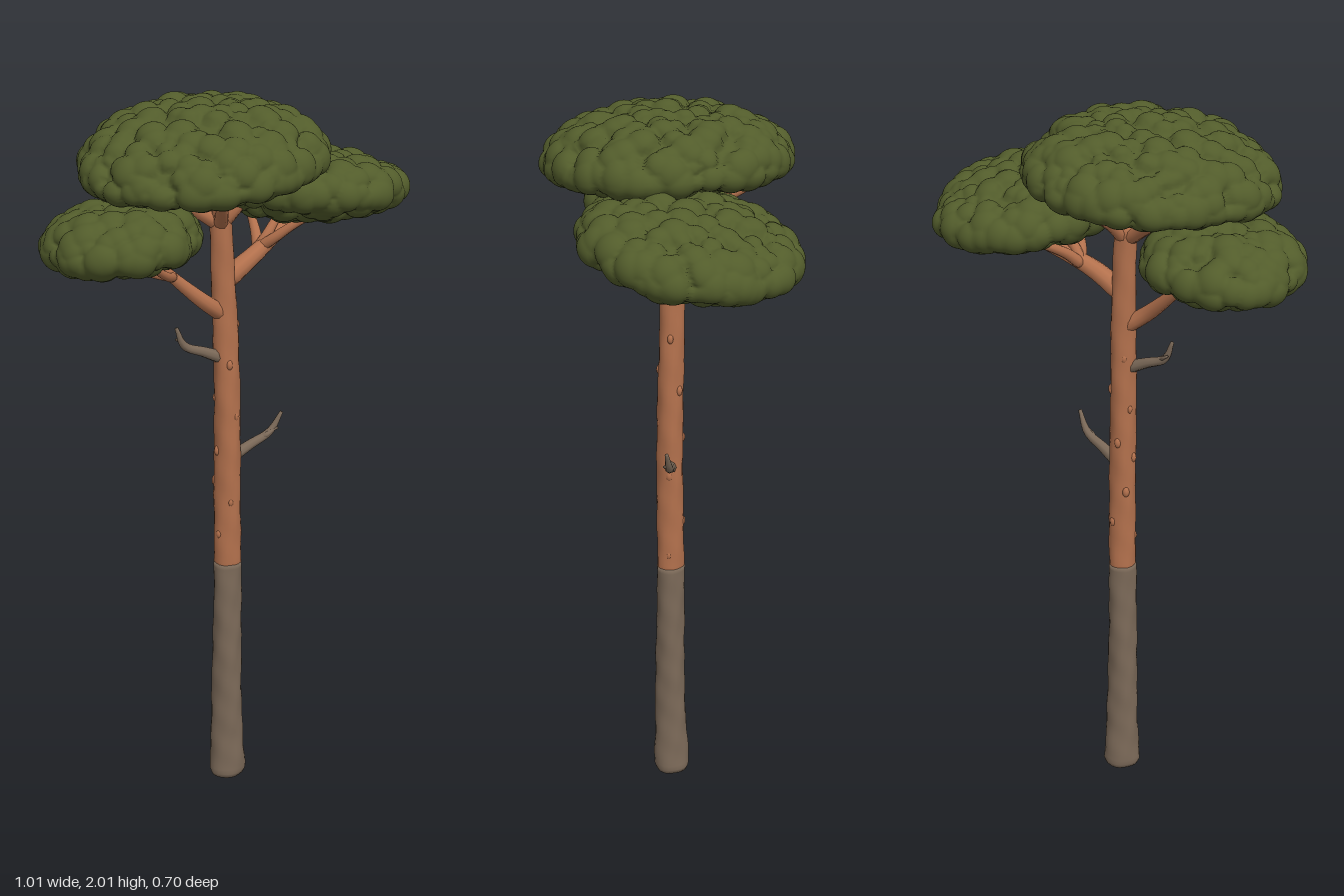
import * as THREE from 'three';
import { mergeVertices } from 'three/addons/utils/BufferGeometryUtils.js';

const vec = (x, y, z) => new THREE.Vector3(x, y, z);

const mat = (name, color) => {
  const m = new THREE.MeshStandardMaterial({ color });
  m.name = name;
  return m;
};

// Small seeded generator
function seeded(seed) {
  let s = seed;
  return () => {
    s = (s * 16807) % 2147483647;
    return s / 2147483647;
  };
}

// Tapered tube along a smooth path, closed at both ends; wobble roughens the bark
function limbGeometry(points, radii, sides, steps, wobble) {
  const curve = new THREE.CatmullRomCurve3(points);
  const { normals, binormals } = curve.computeFrenetFrames(steps);
  const pos = [], idx = [];
  let rings = 0;
  const ring = (i, scale) => {
    const t = i / steps, c = curve.getPointAt(t);
    const f = t * (radii.length - 1), k = Math.min(Math.floor(f), radii.length - 2);
    const r = THREE.MathUtils.lerp(radii[k], radii[k + 1], f - k) * scale;
    for (let j = 0; j < sides; j++) {
      const a = (j / sides) * Math.PI * 2;
      const w = 1 + wobble * (Math.sin(3 * a + c.y * 9) + 0.7 * Math.sin(5 * a - c.y * 31) + 0.6 * Math.sin(2 * a + c.y * 57));
      const p = c.clone()
        .addScaledVector(normals[i], Math.cos(a) * r * w)
        .addScaledVector(binormals[i], Math.sin(a) * r * w);
      pos.push(p.x, p.y, p.z);
    }
    rings++;
  };
  ring(0, 0.001);
  ring(0, 0.9);
  for (let i = 1; i <= steps; i++) ring(i, 1);
  ring(steps, 0.001);
  for (let i = 0; i < rings - 1; i++) {
    for (let j = 0; j < sides; j++) {
      const a = i * sides + j, b = i * sides + (j + 1) % sides;
      idx.push(a, b, b + sides, a, b + sides, a + sides);
    }
  }
  const g = new THREE.BufferGeometry();
  g.setAttribute('position', new THREE.Float32BufferAttribute(pos, 3));
  g.setIndex(idx);
  g.computeVertexNormals();
  return g;
}

// Branch from root to tip, bowed up or down in the middle with a slight wiggle
function branchGeometry(root, tip, r0, r1, bow) {
  const points = [];
  for (let i = 0; i <= 4; i++) {
    const p = root.clone().lerp(tip, i / 4);
    p.y += bow * Math.sin(i / 4 * Math.PI);
    p.z += 0.4 * r0 * Math.sin(i * Math.PI / 2);
    points.push(p);
  }
  return limbGeometry(points, [r0, r1], 10, 14, 0.03);
}

// Flattened dome covered with rounded leaf clumps; lean tips it along x and z
function canopyGeometry(rx, rz, up, down, lean, clumps, detail) {
  const rand = seeded(clumps);
  const shape = n => {
    const a = Math.atan2(n.z, n.x);
    const w = 1 + 0.02 * Math.sin(3 * a + clumps) + 0.015 * Math.sin(5 * a + clumps * 2);
    return vec(n.x * rx * w, n.y * (n.y > 0 ? up : down) + n.x * lean.x + n.z * lean.y, n.z * rz * w);
  };
  const centres = [];
  for (let i = 0; i < clumps; i++) {
    const y = THREE.MathUtils.clamp(1 - 2 * (i + 0.5) / clumps + (rand() - 0.5) * 0.06, -1, 1);
    const a = i * 2.39996 + (rand() - 0.5) * 0.4;
    const s = Math.sqrt(1 - y * y);
    centres.push({ p: shape(vec(Math.cos(a) * s, y, Math.sin(a) * s)), r: 0.02 + rand() * 0.022 });
  }
  const sphere = new THREE.IcosahedronGeometry(1, detail);
  sphere.deleteAttribute('normal');
  sphere.deleteAttribute('uv');
  const g = mergeVertices(sphere, 1e-5);
  const pos = g.attributes.position, n = vec();
  for (let i = 0; i < pos.count; i++) {
    n.fromBufferAttribute(pos, i).normalize();
    const p = shape(n);
    let h = 0;
    for (const c of centres) h = Math.max(h, c.r * c.r - p.distanceToSquared(c.p));
    const out = vec(n.x / rx, n.y / (n.y > 0 ? up : down), n.z / rz).normalize();
    p.addScaledVector(out, Math.sqrt(h) * 0.72);
    pos.setXYZ(i, p.x, p.y, p.z);
  }
  g.computeVertexNormals();
  return g;
}

export function createModel() {
  const tree = new THREE.Group();
  tree.name = 'pineTree';
  const leaf = mat('needleGreen', 0x525c2b);
  const greyBark = mat('greyBark', 0x7b6958);
  const redBark = mat('redBark', 0xb3714d);

  const add = (name, geometry, material) => {
    const m = new THREE.Mesh(geometry, material);
    m.name = name;
    tree.add(m);
    return m;
  };

  // Trunk: grey below, reddish above
  add('lowerTrunk', limbGeometry(
    [vec(-0.013, 0, 0.002), vec(-0.014, 0.3, 0.005), vec(-0.012, 0.715, 0.004)],
    [0.054, 0.047, 0.044, 0.042, 0.04, 0.039], 24, 50, 0.03), greyBark);
  add('upperTrunk', limbGeometry(
    [vec(-0.012, 0.69, 0.004), vec(-0.013, 1.2, 0.005), vec(-0.02, 1.5, 0), vec(-0.028, 1.72, 0)],
    [0.038, 0.0365, 0.034, 0.028], 20, 60, 0.03), redBark);

  // Low knots on the trunk
  const rand = seeded(77);
  for (let i = 0; i < 14; i++) {
    const y = 0.76 + i * 0.05, a = i * 2.4 + rand(), r = 0.033 - i * 0.0003;
    const knot = add('knot', new THREE.SphereGeometry(0.007 + rand() * 0.003, 10, 8), redBark);
    knot.position.set(-0.014 + Math.cos(a) * r, y, 0.004 + Math.sin(a) * r);
    knot.scale.y = 1.6;
  }

  // Side branches with forks carrying the lower canopies
  const branch = (name, material, root, tip, r0, r1, bow) =>
    add(name, branchGeometry(root, tip, r0, r1, bow), material);
  branch('leftwardBranch', redBark, vec(-0.02, 1.44, 0), vec(-0.26, 1.66, 0.06), 0.024, 0.009, -0.01);
  branch('rightwardBranch', redBark, vec(-0.02, 1.53, 0), vec(0.34, 1.69, -0.16), 0.029, 0.009, 0.018);
  const leftFork = vec(-0.165, 1.565, 0.036), rightFork = vec(0.09, 1.595, -0.05);
  for (const z of [0.05, 0.17]) {
    branch('leftwardFork', redBark, leftFork, vec(-0.4 + z * 0.8, 1.65, z), 0.013, 0.007, -0.008);
  }
  for (const z of [-0.22, -0.06, 0.05]) {
    branch('rightwardFork', redBark, rightFork, vec(0.2 + z * 0.4, 1.7, z), 0.016, 0.008, 0.008);
  }

  // Crown branches fanning out beneath the top canopy
  const fork = vec(-0.028, 1.68, 0);
  branch('crownLeader', redBark, fork, vec(-0.05, 1.87, 0.02), 0.025, 0.012, 0);
  [0.16, 0.22, 0.27, 0.21].forEach((reach, i) => {
    const a = 0.3 + i * 1.5;
    branch('crownBranch', redBark, fork,
      vec(-0.04 + Math.cos(a) * reach, 1.825, Math.sin(a) * reach), 0.02, 0.008, 0.014);
  });

  // Bare dead branches, each with an upturned tip and a short twig
  const deadBranch = (root, elbow, tip, twig) => {
    const middle = root.clone().lerp(elbow, 0.5);
    add('deadBranch', limbGeometry([root, middle, elbow, tip], [0.018, 0.014, 0.011, 0.005], 8, 14, 0.03), greyBark);
    branch('deadTwig', greyBark, middle.lerp(elbow, 0.6), twig, 0.008, 0.003, 0);
  };
  deadBranch(vec(-0.03, 1.325, 0.01), vec(-0.138, 1.378, 0.036), vec(-0.16, 1.43, 0.04), vec(-0.158, 1.395, 0.026));
  deadBranch(vec(0, 1.03, 0.002), vec(0.115, 1.085, -0.012), vec(0.148, 1.14, -0.01), vec(0.135, 1.098, 0));
  branch('deadBranch', greyBark, vec(-0.09, 1.74, 0.02), vec(-0.25, 1.79, -0.05), 0.01, 0.005, 0.01);

  // Three flat canopies
  const canopy = (name, geometry, x, y, z) => add(name, geometry, leaf).position.set(x, y, z);
  const lean = (x, z) => new THREE.Vector2(x, z);
  canopy('topCanopy', canopyGeometry(0.287, 0.297, 0.124, 0.042, lean(0.018, -0.012), 440, 40), -0.09, 1.855, 0.026);
  canopy('rightwardCanopy', canopyGeometry(0.237, 0.248, 0.085, 0.06, lean(-0.012, 0.034), 340, 36), 0.23, 1.738, -0.076);
  canopy('leftwardCanopy', canopyGeometry(0.177, 0.183, 0.08, 0.052, lean(0.012, 0.006), 230, 28), -0.302, 1.68, 0.07);

  return tree;
}
